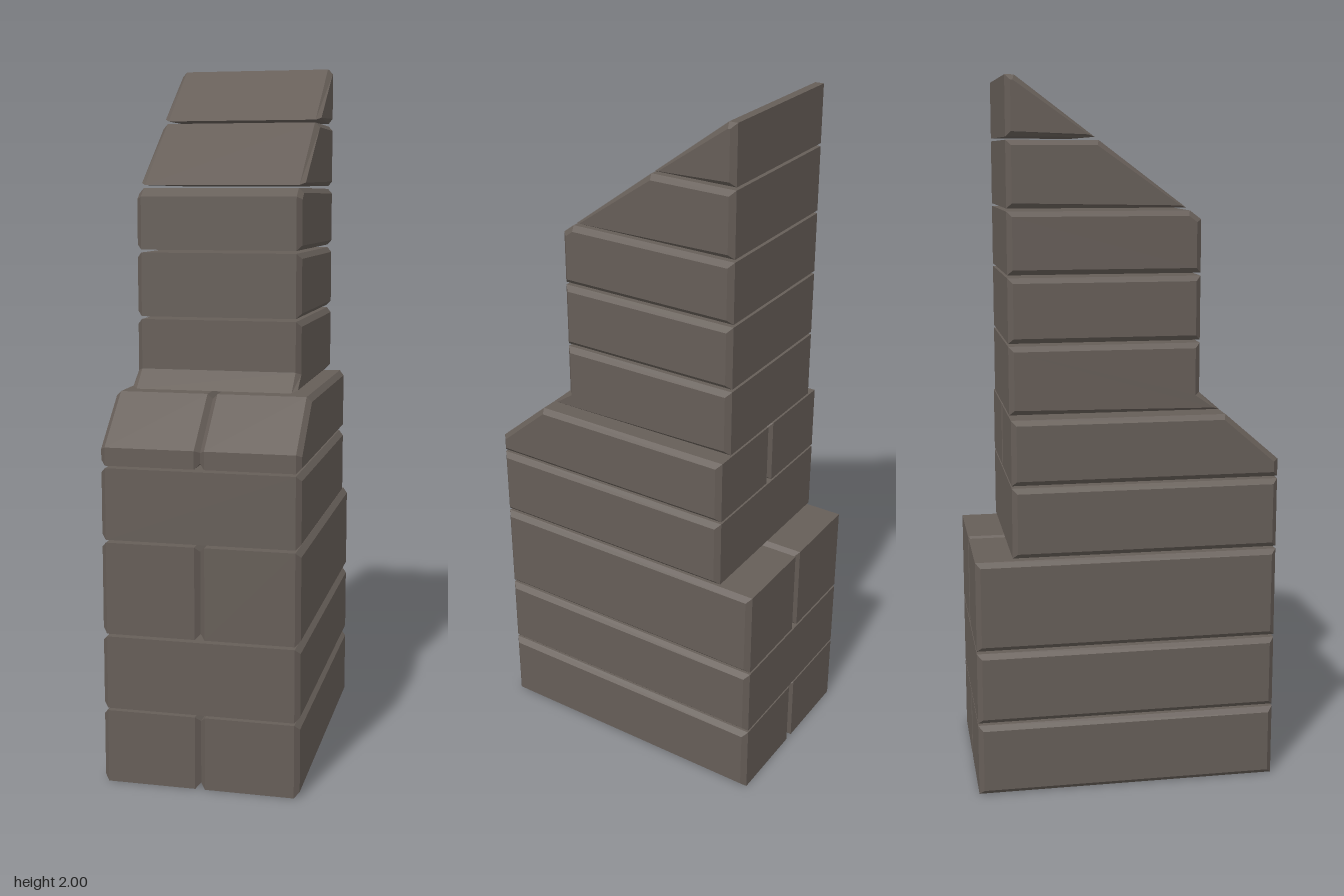
import * as THREE from 'three';

const CHAMFER = 0.014;

// Front silhouette of the whole stack as [z, y], from the ground to the peak
const FRONT = [[0.43, 0], [0.43, 0.95], [0.21, 1.14], [0.21, 1.62], [-0.3, 2]];

// Courses of stone: bottom, top, back z, half width, blocks side by side
const COURSES = [
  { name: 'baseCourse', y0: 0, y1: 0.207, back: -0.43, half: 0.277, count: 2 },
  { name: 'baseCourse', y0: 0.214, y1: 0.42, back: -0.43, half: 0.277, count: 1 },
  { name: 'baseCourse', y0: 0.428, y1: 0.686, back: -0.43, half: 0.277, count: 2 },
  { name: 'shoulderCourse', y0: 0.694, y1: 0.893, back: -0.325, half: 0.277, count: 1 },
  { name: 'shoulderCourse', y0: 0.9, y1: 1.083, back: -0.325, half: 0.277, count: 2 },
  { name: 'towerCourse', y0: 1.09, y1: 1.28, back: -0.325, half: 0.234, count: 1 },
  { name: 'towerCourse', y0: 1.288, y1: 1.466, back: -0.325, half: 0.234, count: 1 },
  { name: 'towerCourse', y0: 1.474, y1: 1.644, back: -0.325, half: 0.234, count: 1 },
  { name: 'peakCourse', y0: 1.652, y1: 1.832, back: -0.325, half: 0.234, count: 1 },
  { name: 'peakCourse', y0: 1.84, y1: 2, back: -0.325, half: 0.234, count: 1 },
];

// z of the front silhouette at height y
function frontAt(y) {
  for (let i = 1; i < FRONT.length; i++) {
    const [za, ya] = FRONT[i - 1];
    const [zb, yb] = FRONT[i];
    if (y <= yb) return za + ((zb - za) * (y - ya)) / (yb - ya);
  }
  return FRONT[FRONT.length - 1][0];
}

// Side profile of one course, extruded across x with chamfered ends
function blockGeometry({ y0, y1, back }, width) {
  const points = [
    [frontAt(y0), y0],
    ...FRONT.filter(([, y]) => y > y0 && y < y1),
    [frontAt(y1), y1],
    [back, y1],
    [back, y0],
  ].map(([z, y]) => new THREE.Vector2(z, y));
  const depth = width - 2 * CHAMFER;
  const geometry = new THREE.ExtrudeGeometry(new THREE.Shape(points), {
    depth,
    bevelEnabled: true,
    bevelSegments: 1,
    bevelSize: CHAMFER,
    bevelThickness: CHAMFER,
    bevelOffset: -CHAMFER,
  });
  geometry.translate(0, 0, -depth / 2);
  geometry.rotateY(-Math.PI / 2);
  return geometry;
}

export function createModel() {
  const model = new THREE.Group();
  model.name = 'stoneChimney';
  const stone = new THREE.MeshStandardMaterial({ color: 0x665e58 });
  stone.name = 'darkStone';

  COURSES.forEach((course, index) => {
    const group = new THREE.Group();
    group.name = `${course.name}${index + 1}`;
    const width = (2 * course.half) / course.count;
    const geometry = blockGeometry(course, width);
    for (let i = 0; i < course.count; i++) {
      const block = new THREE.Mesh(geometry, stone);
      block.name = 'stoneBlock';
      block.position.x = -course.half + width * (i + 0.5);
      group.add(block);
    }
    model.add(group);
  });
  return model;
}
